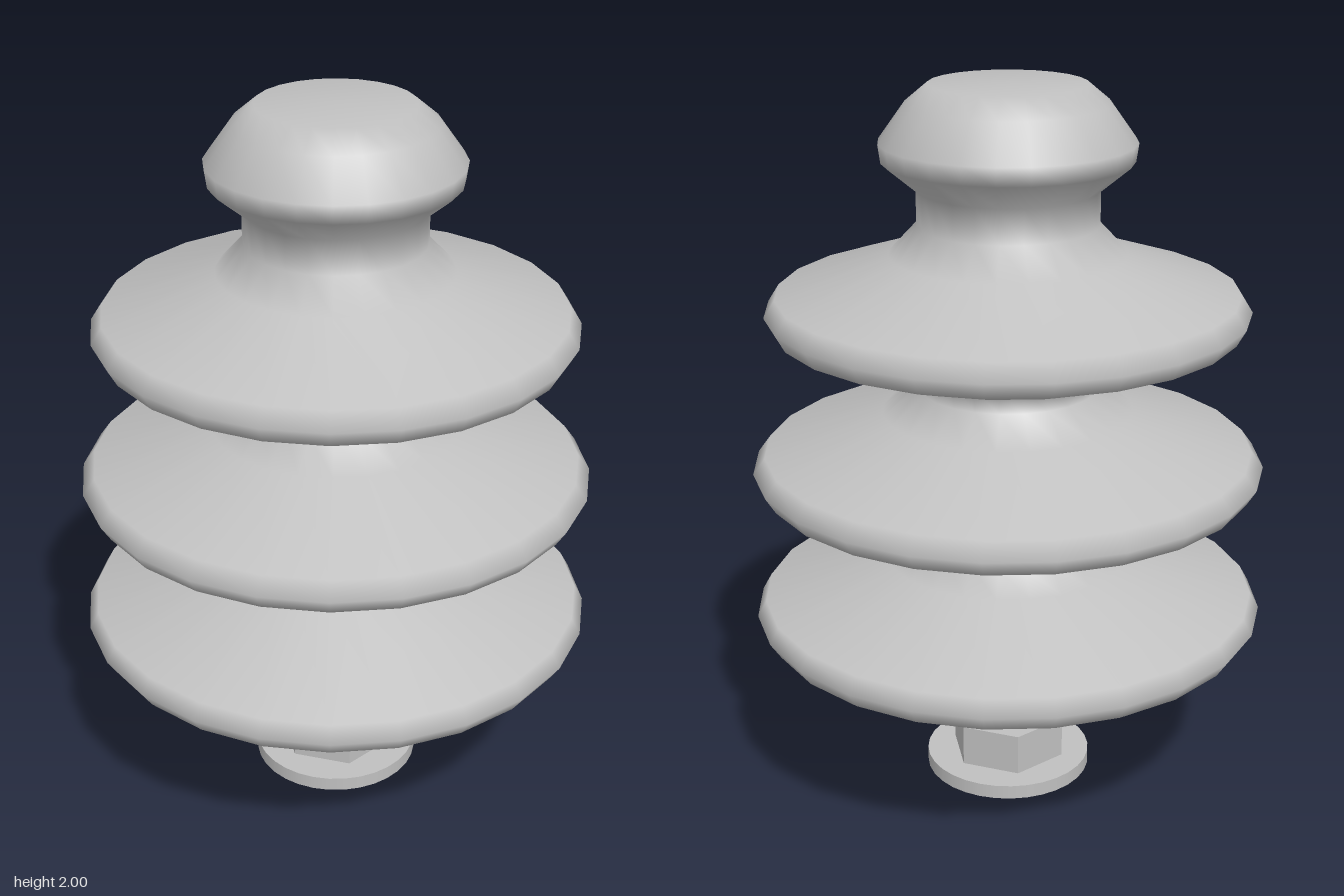
import * as THREE from 'three';

export function createModel() {
  const model = new THREE.Group();
  model.name = 'insulator';

  const ceramic = new THREE.MeshStandardMaterial({ color: 0xc0c0c0 });
  ceramic.name = 'light grey';

  const add = (name, geometry, y = 0) => {
    const mesh = new THREE.Mesh(geometry, ceramic);
    mesh.name = name;
    mesh.position.y = y;
    model.add(mesh);
    return mesh;
  };

  // Ribbed body, turned from a profile of [radius, height] from bottom to top
  const profile = [
    [0, 0.27], [0.205, 0.27], [0.245, 0.33], [0.255, 0.46], // lower stem
    [0.6, 0.46], [0.68, 0.49], [0.71, 0.535], [0.685, 0.58], // bottom shed
    [0.345, 0.69], [0.28, 0.75], [0.265, 0.815],
    [0.675, 0.915], [0.703, 0.96], [0.67, 1.005], // middle shed
    [0.345, 1.11], [0.247, 1.18], [0.255, 1.245],
    [0.52, 1.315], [0.63, 1.355], [0.655, 1.4], [0.625, 1.447], // top shed
    [0.32, 1.55], [0.245, 1.63], [0.245, 1.725],
    [0.335, 1.8], [0.342, 1.85], [0.27, 1.95], [0.21, 2], [0, 2], // head
  ].map(([r, y]) => new THREE.Vector2(r, y));
  add('ribbedBody', new THREE.LatheGeometry(profile, 24));

  // Bolt running through the washer and nut into the stem
  add('boltRod', new THREE.CylinderGeometry(0.115, 0.115, 0.28, 24), 0.14);
  add('washer', new THREE.CylinderGeometry(0.235, 0.235, 0.04, 32), 0.035);

  // Hexagonal nut with corners on the x axis, faceted by splitting its vertices
  const nut = new THREE.CylinderGeometry(0.167, 0.167, 0.12, 6).toNonIndexed();
  nut.rotateY(Math.PI / 2);
  nut.computeVertexNormals();
  add('hexNut', nut, 0.113);

  return model;
}
